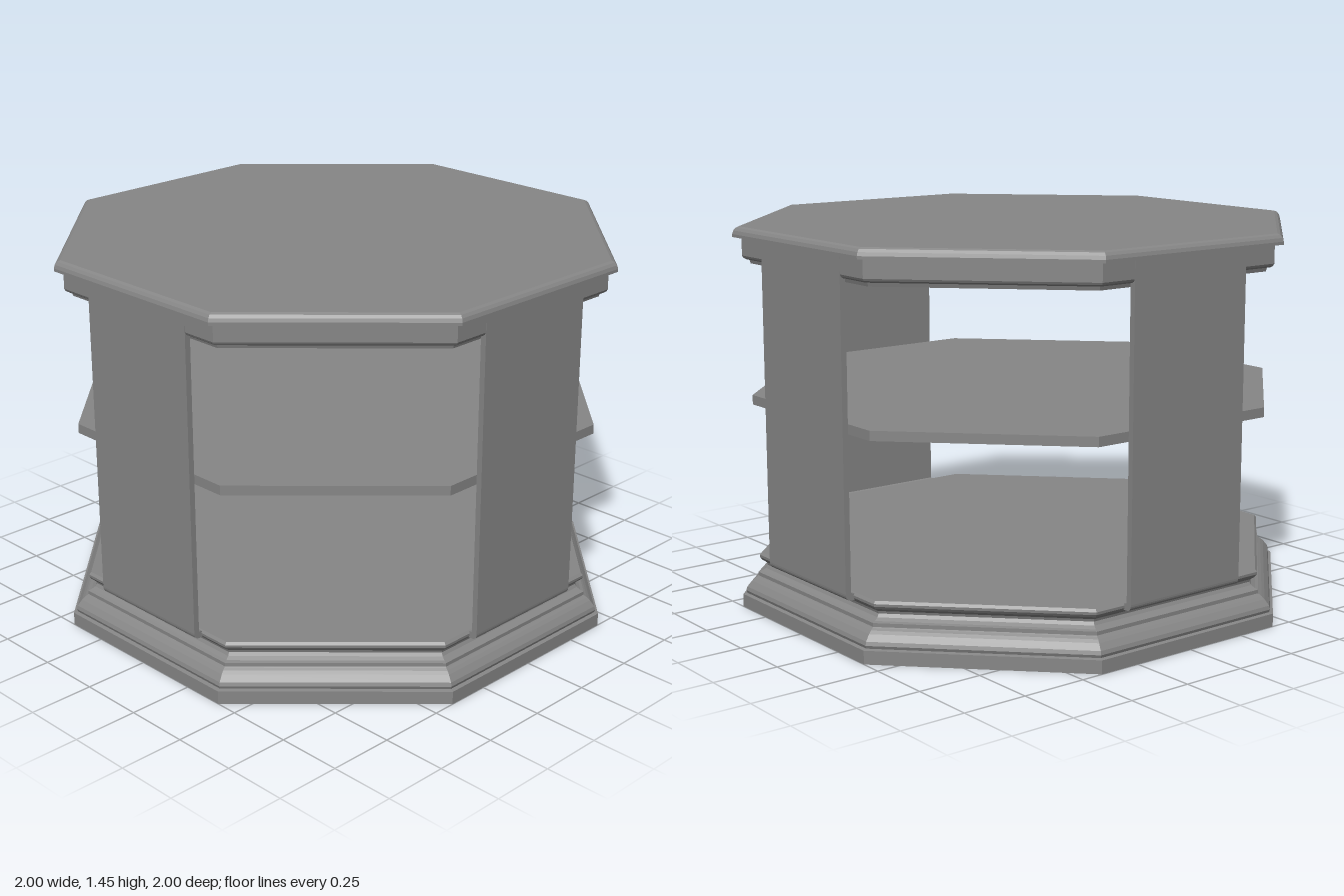
import * as THREE from 'three';

const material = new THREE.MeshStandardMaterial({ color: 0x868686, flatShading: true });
const SIDES = 8;
const TO_CORNER = 1 / Math.cos(Math.PI / SIDES);

// Solid octagon with flats towards x and z; profile is [apothem, y] from bottom to top
function octagon(name, profile) {
  const points = profile.map(([r, y]) => new THREE.Vector2(r * TO_CORNER, y));
  const mesh = new THREE.Mesh(new THREE.LatheGeometry(points, SIDES, Math.PI / SIDES), material);
  mesh.name = name;
  return mesh;
}

// Upright panel: a thin section with a lip curling in at the foot, swept across its width
function panelGeometry(width) {
  const shape = new THREE.Shape();
  shape.moveTo(0.948, 1.413);
  shape.lineTo(0.948, 0.21);
  shape.lineTo(0.93, 0.205);
  shape.lineTo(0.93, 0.183);
  shape.lineTo(0.948, 0.183);
  shape.quadraticCurveTo(0.97, 0.184, 0.97, 0.208);
  shape.lineTo(0.97, 1.413);
  shape.closePath();
  const geometry = new THREE.ExtrudeGeometry(shape, { depth: width, bevelEnabled: false, curveSegments: 6 });
  return geometry.translate(0, 0, -width / 2);
}

export function createModel() {
  const model = new THREE.Group();
  model.name = 'octagonalTable';

  // Moulded plinth: foot, ogee, cove and upper bead
  model.add(octagon('base', [
    [0, 0], [1, 0], [1, 0.05], [0.985, 0.053], [0.989, 0.064], [0.985, 0.078], [0.968, 0.1],
    [0.957, 0.11], [0.948, 0.116], [0.944, 0.119], [0.944, 0.133], [0.932, 0.137], [0.918, 0.146],
    [0.911, 0.158], [0.914, 0.168], [0.93, 0.18], [0.937, 0.19], [0.938, 0.2], [0.93, 0.21], [0, 0.21],
  ]));

  // Middle shelf
  model.add(octagon('shelf', [[0, 0.784], [0.947, 0.784], [0.947, 0.82], [0, 0.82]]));

  // Apron with a small moulding under it
  model.add(octagon('apron', [
    [0, 1.314], [0.94, 1.314], [0.944, 1.328], [0.956, 1.33], [0.965, 1.336],
    [0.969, 1.344], [0.969, 1.413], [0, 1.413],
  ]));

  // Table top with a rounded edge
  model.add(octagon('tableTop', [
    [0, 1.413], [1, 1.413], [1, 1.424], [0.996, 1.437], [0.988, 1.447], [0.977, 1.452], [0, 1.452],
  ]));

  // Four panels on alternate sides
  const geometry = panelGeometry(0.52);
  ['leftPanel', 'backPanel', 'rightPanel', 'frontPanel'].forEach((name, i) => {
    const panel = new THREE.Mesh(geometry, material);
    panel.name = name;
    panel.rotation.y = i * Math.PI / 2;
    model.add(panel);
  });

  return model;
}
